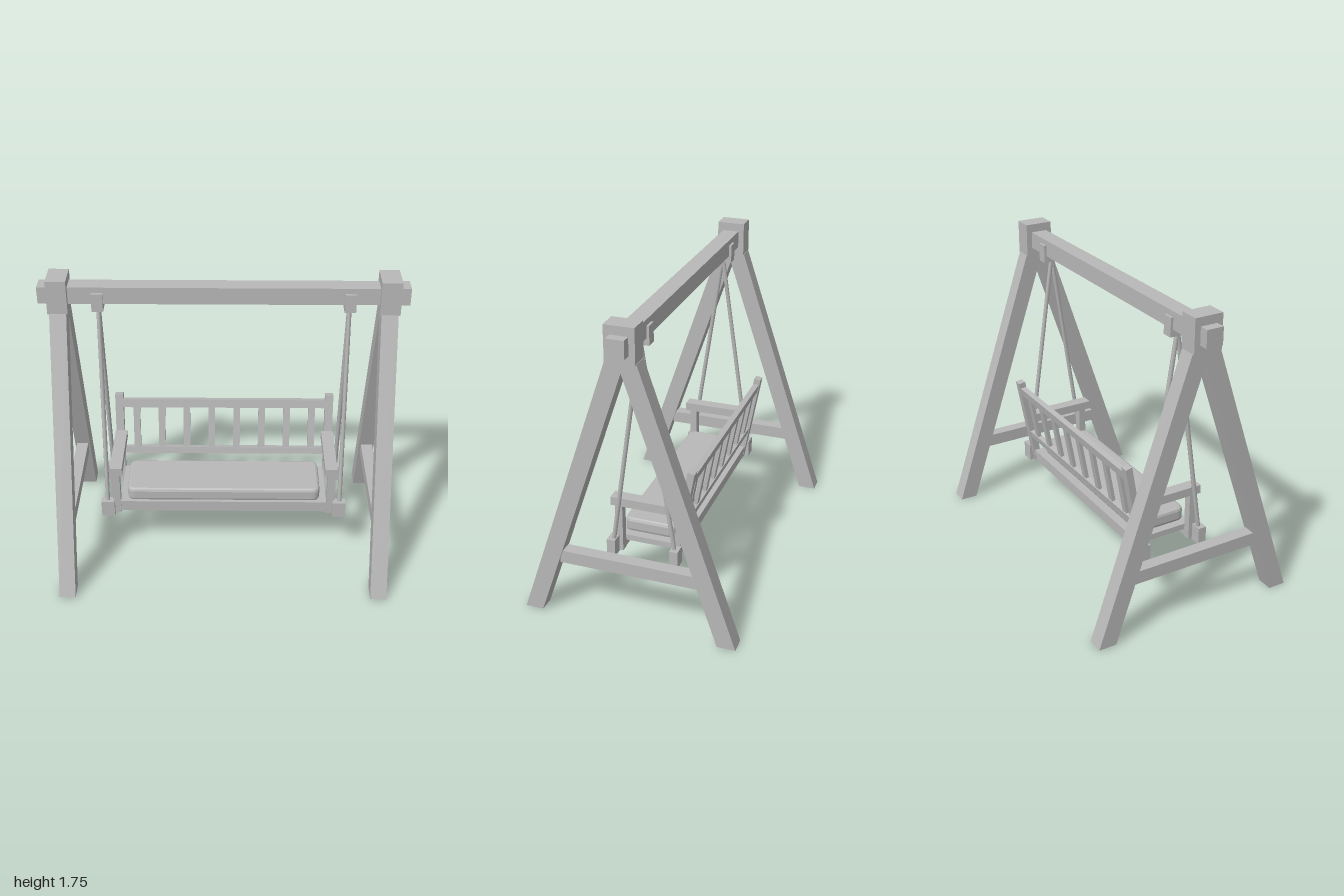
import * as THREE from 'three';

export function createModel() {
  const model = new THREE.Group();
  model.name = 'porchSwing';
  const paint = new THREE.MeshStandardMaterial({ color: 0xb8b8b8 });
  paint.name = 'paleGrey';

  const add = (name, geometry, parent = model) => {
    const mesh = new THREE.Mesh(geometry, paint);
    mesh.name = name;
    parent.add(mesh);
    return mesh;
  };
  // Box from its minimum and maximum on each axis
  const box = (name, x0, x1, y0, y1, z0, z1, parent) => {
    const mesh = add(name, new THREE.BoxGeometry(x1 - x0, y1 - y0, z1 - z0), parent);
    mesh.position.set((x0 + x1) / 2, (y0 + y1) / 2, (z0 + z1) / 2);
    return mesh;
  };
  // Box centred on x, mirrored to both sides
  const pair = (name, x, w, y0, y1, z0, z1, parent) => {
    for (const s of [-1, 1]) box(name, s * x - w / 2, s * x + w / 2, y0, y1, z0, z1, parent);
  };
  // Straight round rod between two points
  const rod = (name, a, b, radius) => {
    const dir = b.clone().sub(a);
    const mesh = add(name, new THREE.CylinderGeometry(radius, radius, dir.length(), 8));
    mesh.position.copy(a).add(b).multiplyScalar(0.5);
    mesh.quaternion.setFromUnitVectors(new THREE.Vector3(0, 1, 0), dir.normalize());
  };

  // Top beam with its end blocks
  box('topBeam', -1, 1, 1.6, 1.697, -0.048, 0.048);
  pair('beamBlock', 0.892, 0.11, 1.553, 1.745, -0.081, 0.081);

  // Leaning legs, mitred under the blocks
  const legShape = new THREE.Shape(
    [[0.605, 0], [0.083, 1.555], [0, 1.555], [0, 1.497], [0.503, 0]].map(p => new THREE.Vector2(...p)));
  const legGeometry = new THREE.ExtrudeGeometry(legShape, { depth: 0.092, bevelEnabled: false });
  legGeometry.translate(0, 0, -0.046);
  for (const sx of [-1, 1]) for (const sz of [-1, 1]) {
    const leg = add(sz > 0 ? 'frontLeg' : 'backLeg', legGeometry);
    leg.rotation.y = -sz * Math.PI / 2;
    leg.position.x = sx * 0.891;
  }
  pair('crossbar', 0.891, 0.07, 0.328, 0.402, -0.385, 0.385);

  // Hangers, ropes and the seat brackets they hold
  pair('beamHanger', 0.68, 0.062, 1.56, 1.665, -0.062, 0.062);
  for (const sz of [-1, 1]) {
    pair('seatBracket', 0.677, 0.076, 0.28, 0.38, sz * 0.181 - 0.024, sz * 0.181 + 0.024);
    for (const sx of [-1, 1]) rod('rope',
      new THREE.Vector3(sx * 0.68, 1.58, 0), new THREE.Vector3(sx * 0.68, 0.34, sz * 0.18), 0.0125);
  }

  // Bench seat, rails, front posts and armrests
  box('seatBoard', -0.605, 0.605, 0.328, 0.362, -0.188, 0.172);
  box('frontRail', -0.605, 0.605, 0.29, 0.328, 0.135, 0.165);
  box('backRail', -0.605, 0.605, 0.29, 0.328, -0.18, -0.145);
  pair('armPost', 0.627, 0.046, 0.285, 0.57, 0.135, 0.177);
  pair('armrest', 0.62, 0.07, 0.568, 0.618, -0.2, 0.2);

  // Backrest, tilted as one frame
  const back = new THREE.Group();
  back.name = 'backrest';
  back.position.set(0, 0.285, -0.159);
  back.rotation.x = -Math.atan(0.18);
  model.add(back);
  pair('backPost', 0.627, 0.048, 0, 0.566, -0.02, 0.02, back);
  box('topRail', -0.605, 0.605, 0.482, 0.533, -0.016, 0.016, back);
  box('lowerRail', -0.605, 0.605, 0.181, 0.222, -0.016, 0.016, back);
  for (let i = 0; i < 8; i++) {
    const x = (i - 3.5) * 0.15;
    box('slat', x - 0.02, x + 0.02, 0.22, 0.484, -0.01, 0.01, back);
  }

  // Cushion: rounded rectangle with bevelled edges
  const w = 0.55, d = 0.137, r = 0.03;
  const pad = new THREE.Shape();
  pad.moveTo(-w + r, -d);
  pad.lineTo(w - r, -d).quadraticCurveTo(w, -d, w, -d + r);
  pad.lineTo(w, d - r).quadraticCurveTo(w, d, w - r, d);
  pad.lineTo(-w + r, d).quadraticCurveTo(-w, d, -w, d - r);
  pad.lineTo(-w, -d + r).quadraticCurveTo(-w, -d, -w + r, -d);
  const cushion = add('cushion', new THREE.ExtrudeGeometry(pad, {
    depth: 0.046, bevelThickness: 0.018, bevelSize: 0.015, bevelSegments: 2, curveSegments: 4 }));
  cushion.rotation.x = -Math.PI / 2;
  cushion.position.set(0, 0.379, 0.01);

  return model;
}
